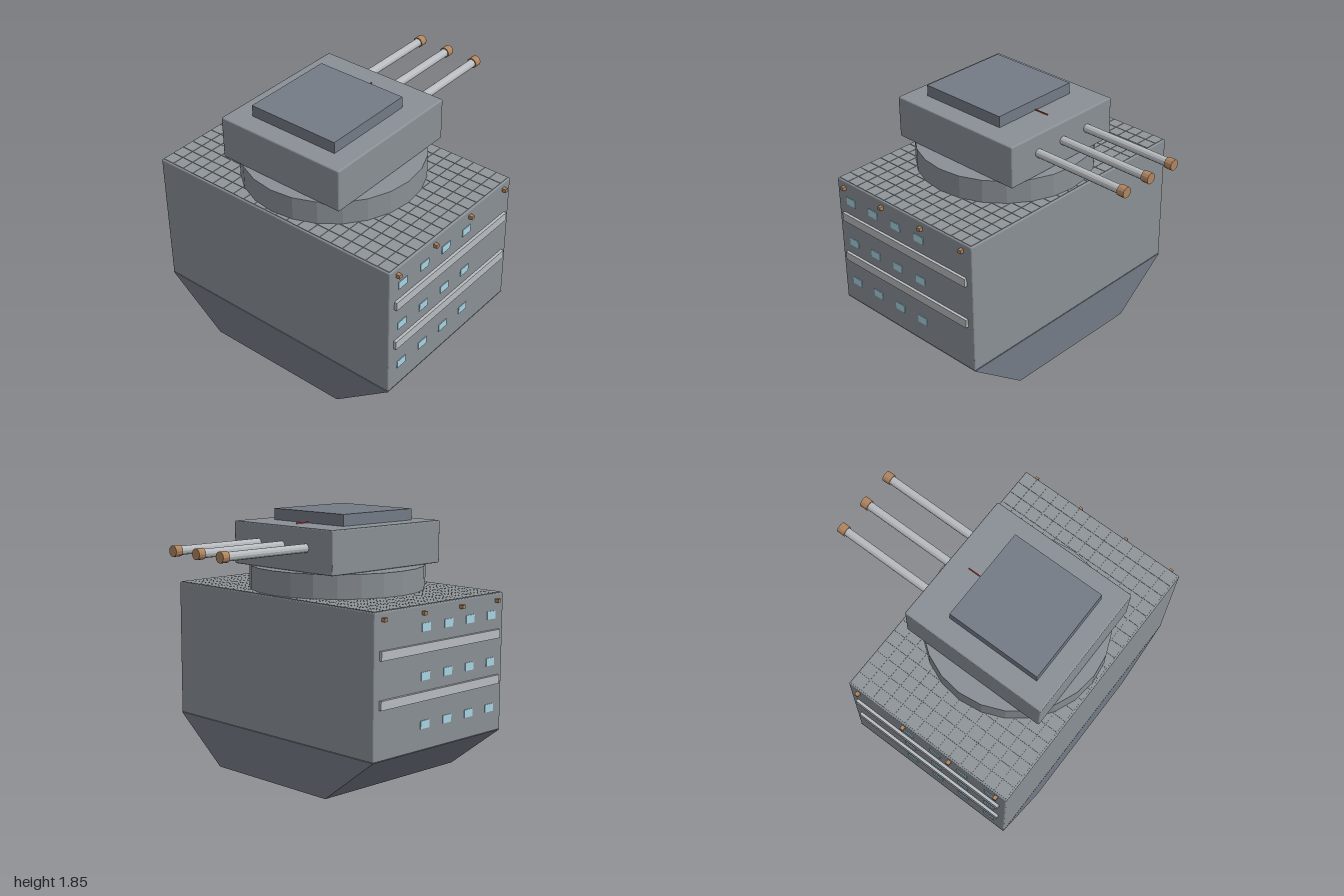
import * as THREE from 'three';
import { mergeGeometries } from 'three/addons/utils/BufferGeometryUtils.js';
import { RoundedBoxGeometry } from 'three/addons/geometries/RoundedBoxGeometry.js';

const mat = (color) => new THREE.MeshStandardMaterial({ color, flatShading: true });
const steel = mat(0x8a9096), darkSteel = mat(0x747b86), bright = mat(0xb8bcc0);
const brass = mat(0xb08560), glass = mat(0xa8d4e4), red = mat(0xc04030), deckSteel = mat(0x909599);

export function createModel() {
  const model = new THREE.Group();
  const add = (name, geometry, material, x, y, z) => {
    const mesh = new THREE.Mesh(geometry, material);
    mesh.name = name;
    mesh.position.set(x, y, z);
    model.add(mesh);
    return mesh;
  };
  const box = (name, w, h, d, material, x, y, z) =>
    add(name, new THREE.BoxGeometry(w, h, d), material, x, y, z);
  const rounded = (name, w, h, d, material, x, y, z) =>
    add(name, new RoundedBoxGeometry(w, h, d, 2, 0.01), material, x, y, z);

  const cx = -0.315; // shared centre line of hull and turret

  // Hull block and its tapered underside
  rounded('hull', 1.29, 0.97, 1.94, steel, cx, 0.815, 0);
  const section = new THREE.Shape([[-0.54, 0], [0.54, 0], [0.97, 0.33], [-0.97, 0.33]]
    .map(([z, y]) => new THREE.Vector2(z, y)));
  const keel = new THREE.ExtrudeGeometry(section, { depth: 1.29, bevelEnabled: false });
  keel.rotateY(Math.PI / 2);
  add('lowerHull', keel, darkSteel, -0.96, 0, 0);

  // Deck of thin square plates with narrow gaps
  const plates = [], cols = 14, rows = 21, pw = 1.27 / cols, pd = 1.92 / rows;
  for (let i = 0; i < cols; i++) {
    for (let j = 0; j < rows; j++) {
      const plate = new THREE.BoxGeometry(pw - 0.004, 0.006, pd - 0.004);
      plate.translate((i + 0.5) * pw - 0.635, 0, (j + 0.5) * pd - 0.96);
      plates.push(plate);
    }
  }
  add('deckPlates', mergeGeometries(plates), deckSteel, cx, 1.301, 0);

  // Belts, windows and lamps, the same on front and back
  for (const side of [1, -1]) {
    for (const y of [0.7, 1.02]) box('sideBelt', 1.19, 0.062, 0.025, bright, cx, y, side * 0.978);
    for (const y of [0.505, 0.83, 1.155]) {
      for (let i = 0; i < 4; i++) {
        box('window', 0.085, 0.055, 0.012, glass, -0.83 + i * 0.223, y, side * 0.969);
      }
    }
    for (let i = 0; i < 4; i++) {
      box('lamp', 0.026, 0.026, 0.03, brass, -0.885 + i * 0.378, 1.25, side * 0.983);
    }
  }

  // Turret on a faceted ring
  add('turretRing', new THREE.CylinderGeometry(0.62, 0.62, 0.17, 24), steel, cx, 1.385, 0);
  rounded('turret', 1.065, 0.3, 0.97, steel, cx, 1.62, 0);
  box('turretHatch', 0.68, 0.08, 0.68, darkSteel, -0.37, 1.81, 0);
  box('aimingMark', 0.12, 0.008, 0.006, red, 0.02, 1.775, 0);

  // Three guns pointing to +x
  const tube = (r, length) => new THREE.CylinderGeometry(r, r, length, 12).rotateZ(-Math.PI / 2);
  for (const z of [-0.235, 0, 0.235]) {
    add('gunBarrel', tube(0.03, 0.75), bright, 0.555, 1.635, z);
    add('gunMuzzle', tube(0.038, 0.055), brass, 0.9325, 1.635, z);
  }
  return model;
}
